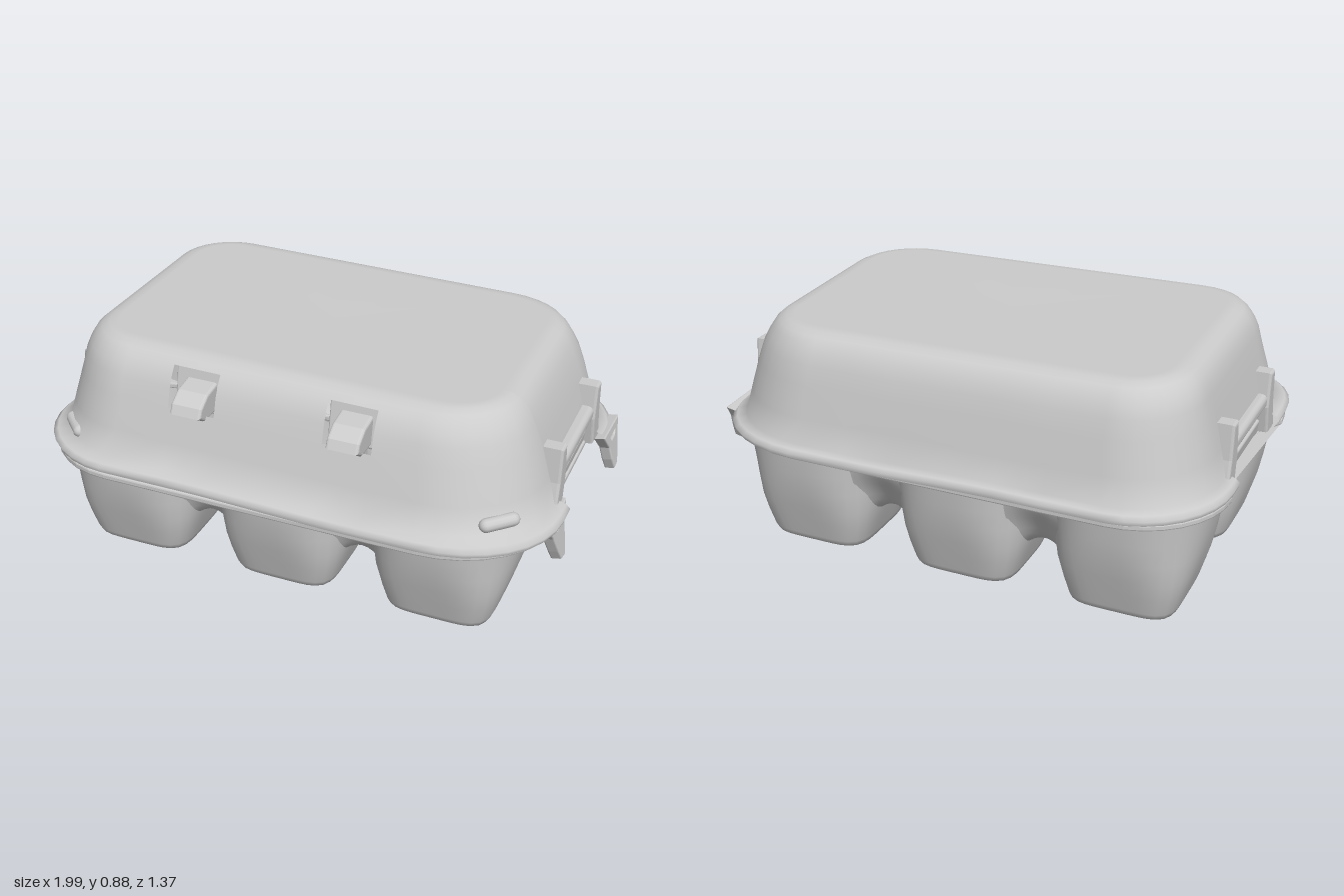
import * as THREE from 'three';
import { RoundedBoxGeometry } from 'three/addons/geometries/RoundedBoxGeometry.js';

const material = new THREE.MeshStandardMaterial({ color: 0xcccccc, side: THREE.DoubleSide });
const NOTCH = [-0.28, 0.24]; // z range of the openings in both ends
const HOLES = [-0.34, 0.25]; // x centres of the latch holes
const CX = -0.025; // middle of the carton in x

function add(parent, name, geometry, x = 0, y = 0, z = 0) {
  const mesh = new THREE.Mesh(geometry, material);
  mesh.name = name;
  mesh.position.set(x, y, z);
  parent.add(mesh);
  return mesh;
}

// Skin a stack of closed rings, listed from the bottom up
function loft(rings, skip = () => false) {
  const n = rings[0].length, index = [];
  for (let j = 0; j < rings.length - 1; j++) {
    for (let i = 0; i < n; i++) {
      const k = (i + 1) % n;
      const mid = new THREE.Vector3();
      [rings[j][i], rings[j][k], rings[j + 1][i], rings[j + 1][k]].forEach(p => mid.addScaledVector(p, 0.25));
      if (skip(mid)) continue;
      const a = j * n + i, b = j * n + k;
      index.push(a, a + n, b, b, a + n, b + n);
    }
  }
  const geometry = new THREE.BufferGeometry().setFromPoints(rings.flat());
  geometry.setIndex(index);
  geometry.computeVertexNormals();
  return geometry;
}

// Rounded rectangle with extra points on the sides at the notch and hole edges;
// the corners at the +x end are rounder
function roundedRing(y, x0, x1, z0, z1, r) {
  const points = [], rx = r * 1.22, rz = r * 1.1;
  const put = (x, z) => points.push(new THREE.Vector3(x, y, z));
  const corner = (x, z, q, a, b) => {
    for (let i = 0; i <= 8; i++) {
      const t = (q + i / 8) * Math.PI / 2;
      put(x + a * Math.cos(t), z + b * Math.sin(t));
    }
  };
  const ends = [NOTCH[0], -0.15, -0.02, 0.11, NOTCH[1]];
  const long = [-0.43, -0.34, -0.25, -0.05, 0.16, 0.25, 0.34];
  corner(x1 - rx, z1 - rz, 0, rx, rz);
  [...long].reverse().forEach(x => put(x, z1));
  corner(x0 + r, z1 - r, 1, r, r);
  [...ends].reverse().forEach(z => put(x0, z));
  corner(x0 + r, z0 + r, 2, r, r);
  long.forEach(x => put(x, z0));
  corner(x1 - rx, z0 + rz, 3, rx, rz);
  ends.forEach(z => put(x1, z));
  return points;
}

// Lid shell with end openings and latch holes
function lidGeometry() {
  const profile = [
    [0.432, -0.995, 0.955, -0.68, 0.675, 0.335],
    [0.45, -1.0, 0.96, -0.685, 0.68, 0.335],
    [0.465, -0.985, 0.945, -0.675, 0.67, 0.335],
    [0.475, -0.955, 0.91, -0.65, 0.62, 0.32],
    [0.57, -0.93, 0.88, -0.63, 0.593, 0.3],
    [0.69, -0.9, 0.843, -0.607, 0.555, 0.28],
    [0.76, -0.882, 0.815, -0.59, 0.533, 0.26],
    [0.8, -0.868, 0.795, -0.574, 0.512, 0.25],
    [0.83, -0.85, 0.775, -0.556, 0.49, 0.235],
    [0.85, -0.828, 0.752, -0.535, 0.465, 0.21],
    [0.862, -0.8, 0.725, -0.505, 0.435, 0.18],
    [0.866, -0.765, 0.69, -0.47, 0.4, 0.14],
  ];
  const rings = profile.map(p => roundedRing(...p));
  rings.push(rings[0].map(() => new THREE.Vector3(-0.04, 0.86, -0.03)));
  const geometry = loft(rings, p =>
    (Math.abs(p.x) > 0.8 && p.y < 0.57 && p.z > NOTCH[0] && p.z < NOTCH[1]) ||
    (p.z > 0.45 && p.y > 0.69 && p.y < 0.83 && HOLES.some(x => Math.abs(p.x - x) < 0.09)));
  // Slight sag of the pulp, with an uneven rim
  const v = geometry.attributes.position;
  for (let i = 0; i < v.count; i++) {
    const x = v.getX(i), y = v.getY(i), z = v.getZ(i);
    const wave = y < 0.48 ? 0.003 * Math.sin(7 * x + 5 * z) : 0;
    v.setY(i, y - 0.014 * x + 0.012 * z + wave);
  }
  geometry.computeVertexNormals();
  return geometry;
}

// Superellipse ring: half width, half depth, squareness
function squareRing(y, w, d, e) {
  return Array.from({ length: 48 }, (_, i) => {
    const a = i / 48 * Math.PI * 2, c = Math.cos(a), s = Math.sin(a);
    const f = (Math.abs(c) ** e + Math.abs(s) ** e) ** (-1 / e);
    return new THREE.Vector3(w * c * f, y, d * s * f);
  });
}

// Egg cup: squarish foot with a round recess, turning round towards the mouth
function cupGeometry() {
  return loft([
    [0.018, 0, 0, 2], [0.016, 0.04, 0.04, 2], [0.024, 0.055, 0.055, 2], [0.022, 0.066, 0.066, 2],
    [0.008, 0.08, 0.08, 2], [0, 0.12, 0.125, 3], [0, 0.18, 0.19, 5], [0.008, 0.194, 0.204, 5],
    [0.03, 0.203, 0.213, 5], [0.1, 0.224, 0.233, 4.6], [0.17, 0.245, 0.256, 3.8],
    [0.25, 0.264, 0.278, 3], [0.33, 0.28, 0.295, 2.6], [0.42, 0.293, 0.308, 2.5],
  ].map(p => squareRing(...p)));
}

// Curved sheet filling the valley between two cups: follows a profile in (z, y)
// and droops to both sides into the cups
function saddleGeometry(profile) {
  const curve = new THREE.SplineCurve(profile.map(p => new THREE.Vector2(...p)));
  const geometry = new THREE.PlaneGeometry(2, 1, 8, 24);
  const v = geometry.attributes.position;
  for (let i = 0; i < v.count; i++) {
    const u = v.getX(i), t = v.getY(i) + 0.5;
    const p = curve.getPoint(t), d = curve.getTangent(t);
    const droop = 0.06 * u * u * Math.max(0, (0.41 - p.y) / 0.25);
    v.setXYZ(i, 0.1 * u, p.y - d.x * droop, p.x + d.y * droop);
  }
  geometry.computeVertexNormals();
  return geometry;
}

// Profile drawn in (z, y), given thickness along x and centred there
function endProfile(points, depth, bevel, hole) {
  const toV = list => list.map(p => new THREE.Vector2(...p));
  const shape = new THREE.Shape(toV(points));
  if (hole) shape.holes.push(new THREE.Path(toV(hole)));
  const geometry = new THREE.ExtrudeGeometry(shape, {
    depth, bevelSize: bevel, bevelThickness: bevel, bevelSegments: 3,
  });
  return geometry.translate(0, 0, -depth / 2).rotateY(-Math.PI / 2);
}

export function createModel() {
  const model = new THREE.Group();
  model.name = 'eggCarton';
  const lid = new THREE.Group(), tray = new THREE.Group();
  lid.name = 'lid';
  tray.name = 'tray';
  model.add(lid, tray);

  add(lid, 'lidShell', lidGeometry());

  // Cups in two rows of three
  const xs = [-0.66, -0.055, 0.55], zs = [0.27, -0.34];
  const cup = cupGeometry();
  xs.forEach(x => zs.forEach(z => add(tray, 'eggCup', cup, x, 0, z)));

  // Saddles between cups, rising to the rim outside and to a post inside
  const inner = [[-0.17, 0.41], [-0.14, 0.3], [-0.1, 0.195], [-0.04, 0.165]];
  const outer = [[0.06, 0.165], [0.13, 0.195], [0.19, 0.28], [0.24, 0.36], [0.265, 0.415]];
  const edgeSaddle = saddleGeometry([...inner, ...outer]);
  const midSaddle = saddleGeometry([...inner, ...inner.map(([s, y]) => [-s, y]).reverse()]);
  for (const x of [-0.3575, 0.2475]) {
    add(tray, 'saddle', edgeSaddle, x, 0, 0.27);
    add(tray, 'saddle', edgeSaddle, x, 0, -0.34).rotation.y = Math.PI;
  }
  add(tray, 'saddle', edgeSaddle, -0.66, 0, -0.035).rotation.y = -Math.PI / 2;
  add(tray, 'saddle', edgeSaddle, 0.55, 0, -0.035).rotation.y = Math.PI / 2;
  add(tray, 'saddle', midSaddle, -0.055, 0, -0.035).rotation.y = Math.PI / 2;

  // Tray rim, set back at the end openings, open over each cup
  const outline = roundedRing(0, -0.985, 0.94, -0.67, 0.66, 0.33).map(p => {
    const inNotch = Math.abs(p.x) > 0.8 && p.z >= NOTCH[0] && p.z <= NOTCH[1];
    return new THREE.Vector2(inNotch ? CX + Math.sign(p.x) * 0.91 : p.x, p.z);
  });
  const rim = new THREE.Shape(outline);
  xs.forEach(x => zs.forEach(z => rim.holes.push(new THREE.Path(
    squareRing(0, 0.288, 0.302, 2.5).map(p => new THREE.Vector2(p.x + x, p.z + z))))));
  const rimGeometry = new THREE.ExtrudeGeometry(rim, {
    depth: 0.012, bevelSize: 0.006, bevelThickness: 0.006, bevelSegments: 2,
  }).rotateX(Math.PI / 2);
  add(tray, 'rim', rimGeometry, 0, 0.428, 0);

  // Latches: inner flap and a wedge poking through each hole
  const latch = endProfile([[0.46, 0.69], [0.555, 0.69], [0.588, 0.712], [0.577, 0.735], [0.53, 0.765], [0.46, 0.775]], 0.1, 0.01);
  HOLES.forEach(x => {
    add(tray, 'latch', latch, x, 0, 0);
    const flap = add(tray, 'latchFlap', new RoundedBoxGeometry(0.2, 0.18, 0.015, 2, 0.006), x, 0.755, 0.458);
    flap.rotation.x = -0.2;
  });

  // Ends: upright fins beside each opening, lid lip above it, tray wall below it
  const finPoints = [[-0.016, 0.66], [0.018, 0.66], [0.028, 0.54], [0.055, 0.435], [-0.015, 0.435], [-0.03, 0.54]];
  for (const side of [-1, 1]) {
    const end = new THREE.Group();
    end.name = side > 0 ? 'leftEnd' : 'rightEnd';
    model.add(end);
    for (const [z, flip] of [[0.215, 1], [-0.258, -1]]) {
      const points = finPoints.map(([u, v]) => [u * flip, v]);
      add(end, 'fin', endProfile(points, 0.09, 0.01), CX + side * 0.89, 0, z);
    }
    add(end, 'lidLip', new RoundedBoxGeometry(0.075, 0.055, 0.47, 3, 0.022), CX + side * 0.9, 0.562, -0.02);
    const wall = add(end, 'trayWall', new RoundedBoxGeometry(0.025, 0.1, 0.5, 3, 0.01), CX + side * 0.895, 0.435, -0.02);
    wall.rotation.z = side * -0.15;

    // Faint raised pads on the front corners of the lid
    const padX = side > 0 ? 0.785 : -0.853;
    const pad = add(end, 'cornerPad', new THREE.CapsuleGeometry(0.025, 0.1, 6, 12), padX, 0.512, 0.51);
    pad.rotation.set(0, side * Math.PI / 4, Math.PI / 2, 'YXZ');
  }

  // Torn tabs hanging outward from the rim of the left end
  const tear = [[-0.1, 0.01], [0.1, 0], [0.07, -0.04], [0.04, -0.11], [0.02, -0.15], [-0.015, -0.155], [-0.035, -0.11], [-0.05, -0.05]];
  const gap = [[-0.035, -0.02], [0.05, -0.02], [0.03, -0.045], [-0.02, -0.045]];
  for (const [x, z, flip] of [[0.915, 0.3, 1], [0.943, -0.35, -1]]) {
    const mirror = list => list.map(([u, v]) => [u * flip, v]);
    add(model, 'tornTab', endProfile(mirror(tear), 0.03, 0.006, mirror(gap)), x, 0.435, z).rotation.z = 0.2;
  }
  return model;
}
